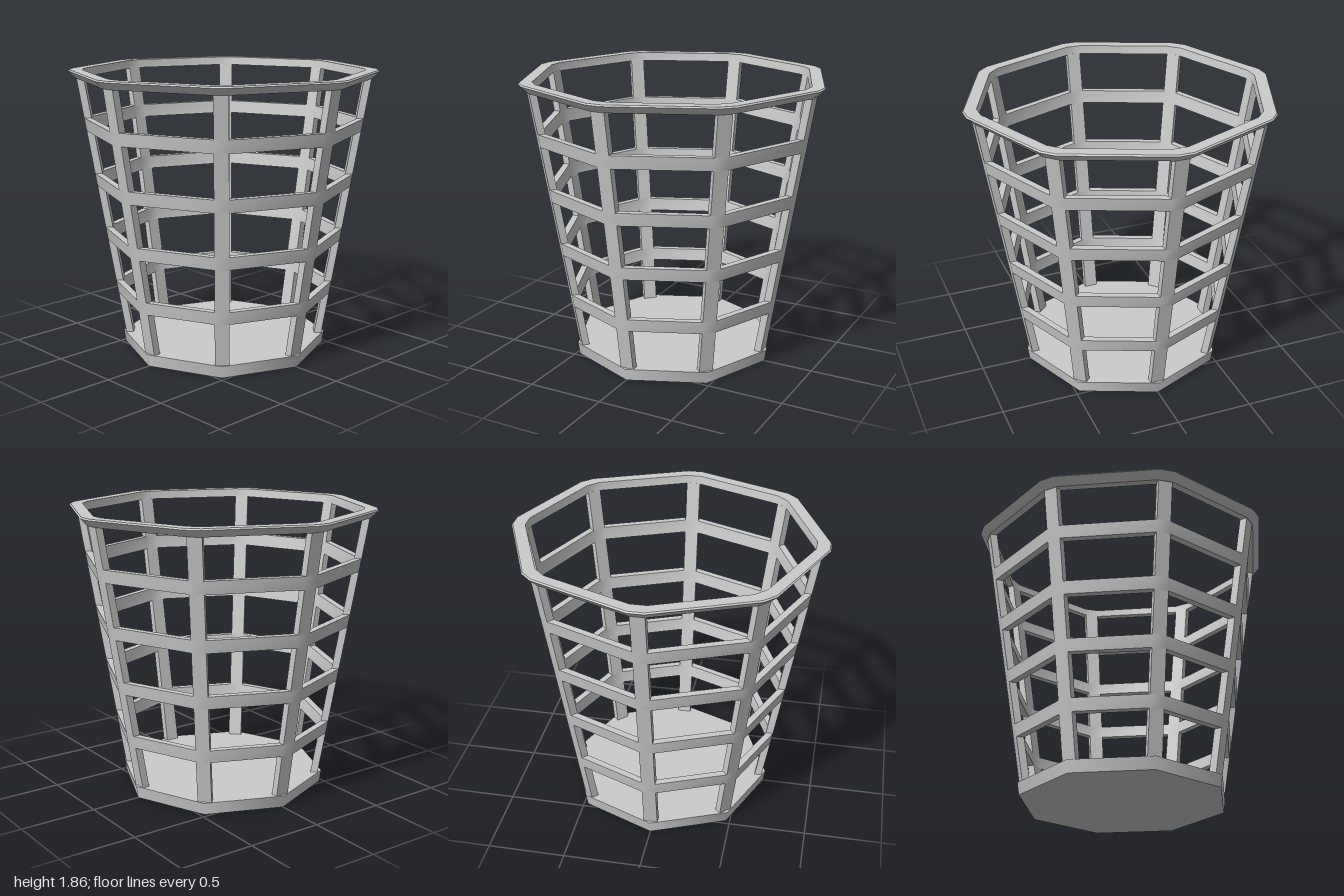
import * as THREE from 'three';
import { toCreasedNormals } from 'three/addons/utils/BufferGeometryUtils.js';

const SIDES = 8;
const HALF = 0.045;   // half width of an upright, also half of each cut corner
const THICK = 0.048;  // wall thickness
const outer = (y) => 0.647 + 0.168 * y; // tapered wall radius at height y

// Loft a closed [radius, y] profile round an octagon with cut corners.
function ring(profile, half, crease) {
  const pos = [], index = [], n = profile.length, m = SIDES * 2;
  for (let i = 0; i < m; i++) {
    const a = Math.floor(i / 2) * Math.PI * 2 / SIDES;
    const t = i % 2 ? half : -half;
    const s = Math.sin(a), c = Math.cos(a);
    for (const [r, y] of profile) pos.push(r * s + t * c, y, r * c - t * s);
  }
  for (let i = 0; i < m; i++) {
    for (let j = 0; j < n; j++) {
      const i2 = (i + 1) % m, j2 = (j + 1) % n;
      const a = i * n + j, b = i2 * n + j, c = i2 * n + j2, d = i * n + j2;
      index.push(a, b, c, a, c, d);
    }
  }
  const geo = new THREE.BufferGeometry();
  geo.setAttribute('position', new THREE.Float32BufferAttribute(pos, 3));
  geo.setIndex(index);
  return toCreasedNormals(geo, crease);
}

// A piece of upright between two heights, leaning with the wall.
function uprightPiece(y0, y1) {
  const geo = new THREE.BoxGeometry(HALF * 2, y1 - y0, THICK);
  geo.translate(0, (y0 + y1) / 2, 0);
  const p = geo.attributes.position;
  for (let i = 0; i < p.count; i++) {
    p.setZ(i, p.getZ(i) + outer(p.getY(i)) - THICK / 2);
  }
  geo.computeVertexNormals();
  return geo;
}

export function createModel() {
  const group = new THREE.Group();
  const material = new THREE.MeshStandardMaterial({ color: 0xcccccc });
  const add = (name, geo, parent = group) => {
    const mesh = new THREE.Mesh(geo, material);
    mesh.name = name;
    parent.add(mesh);
    return mesh;
  };

  // Solid octagonal floor
  add('base', new THREE.CylinderGeometry(0.682, 0.67, 0.08, SIDES)).position.y = 0.04;

  // Horizontal bands, flush with the uprights
  const bands = [[0.363, 0.446], [0.728, 0.811], [1.092, 1.176], [1.457, 1.541]];
  for (const [y0, y1] of bands) {
    add('band', ring([
      [outer(y0), y0], [outer(y1), y1],
      [outer(y1) - THICK, y1], [outer(y0) - THICK, y0],
    ], HALF, 0.6));
  }

  // Eight uprights, split where the bands cross them
  const levels = [0.08, ...bands.flat(), 1.805];
  for (let k = 0; k < SIDES; k++) {
    const upright = new THREE.Group();
    upright.name = 'upright';
    upright.rotation.y = k * Math.PI * 2 / SIDES;
    for (let i = 0; i < levels.length; i += 2) {
      add('uprightPiece', uprightPiece(levels[i], levels[i + 1]), upright);
    }
    group.add(upright);
  }

  // Flared rim with a flat top
  add('rim', ring([
    [0.952, 1.8], [1.0, 1.846], [0.992, 1.855], [0.91, 1.855], [0.902, 1.8],
  ], 0.05, 0.6));

  return group;
}
